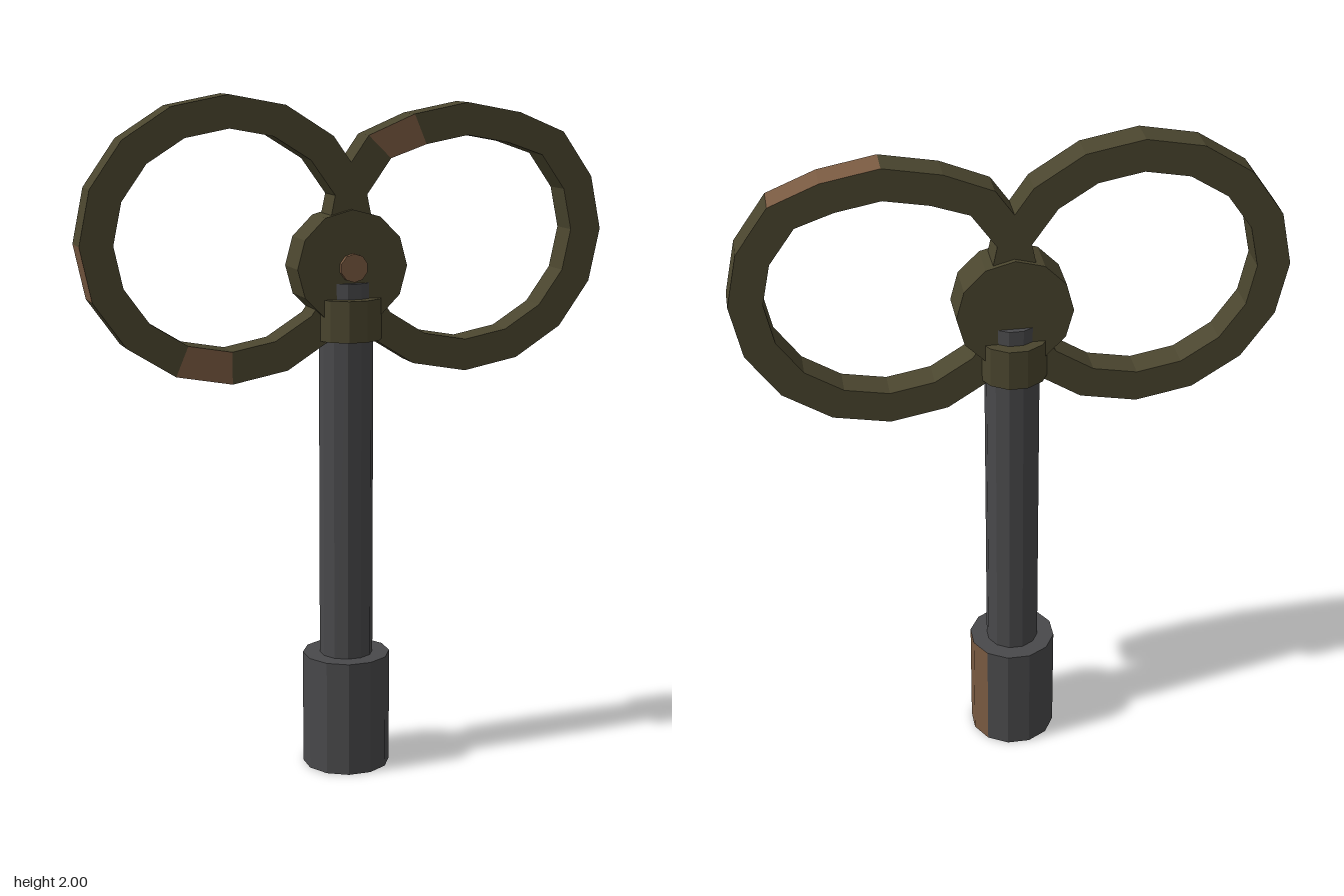
import * as THREE from 'three';

const flat = (name, color) => {
  const m = new THREE.MeshStandardMaterial({ color, flatShading: true });
  m.name = name;
  return m;
};

export function createModel() {
  const brass = flat('darkBrass', 0x4a452e);
  const steel = flat('darkSteel', 0x49494b);
  const rust = flat('wornCopper', 0x795a41);
  const model = new THREE.Group();
  const STEP = Math.PI / 6;

  const add = (name, geometry, material, x = 0, y = 0, z = 0) => {
    const mesh = new THREE.Mesh(geometry, material);
    mesh.name = name;
    mesh.position.set(x, y, z);
    model.add(mesh);
    return mesh;
  };

  // Twelve-sided prism; the listed side facets use the second material
  const prism = (r, h, start = 0, painted = [], open = false) => {
    const g = new THREE.CylinderGeometry(r, r, h, 12, 1, open, start);
    g.clearGroups();
    for (let i = 0; i < 12; i++) g.addGroup(i * 6, 6, painted.includes(i) ? 1 : 0);
    if (!open) g.addGroup(72, g.index.count - 72, 0);
    return g;
  };

  // Oval band of 16 segments with a rectangular section
  const band = (dent, paintedFront, paintedOuter) => {
    const N = 16, D = 0.046, pos = [];
    const g = new THREE.BufferGeometry();
    const point = (k, rx, ry, z) => {
      const a = (k % N) * Math.PI * 2 / N;
      const drop = k >= 3 && k <= 5 ? dent : 0;
      return [Math.cos(a) * rx, Math.sin(a) * ry - drop, z];
    };
    for (let k = 0; k < N; k++) {
      const ring = j => [
        point(j, 0.428, 0.405, D), point(j, 0.333, 0.312, D),
        point(j, 0.333, 0.312, -D), point(j, 0.428, 0.405, -D),
      ];
      const p = ring(k), q = ring(k + 1);
      // sides in order: front, inner, back, outer
      for (let s = 0; s < 4; s++) {
        const t = (s + 1) % 4;
        const worn = (s === 0 && paintedFront.includes(k)) || (s === 3 && paintedOuter.includes(k));
        g.addGroup(pos.length / 3, 6, worn ? 1 : 0);
        pos.push(...p[s], ...q[s], ...q[t], ...p[s], ...q[t], ...p[t]);
      }
    }
    g.setAttribute('position', new THREE.Float32BufferAttribute(pos, 3));
    g.computeVertexNormals();
    return g;
  };

  // Two finger loops, the left one slightly dented on top
  add('rightLoop', band(0, [11], [8]), [brass, rust], -0.355, 1.595);
  add('leftLoop', band(0.03, [5], [2, 3]), [brass, rust], 0.355, 1.595);

  // Hub disc and its rivet
  add('hub', prism(0.165, 0.12, 0, [2]).rotateX(Math.PI / 2), [brass, rust], 0, 1.51, 0);
  add('rivet', new THREE.CylinderGeometry(0.041, 0.041, 0.025, 10).rotateX(Math.PI / 2),
    rust, 0, 1.51, 0.0625);

  // Collar and shaft
  add('collar', prism(0.114, 0.12, STEP / 2).scale(0.92, 1, 1), [brass, rust], 0, 1.36);
  add('shaft', prism(0.079, 1.265, STEP / 2), [steel, rust], 0, 0.8325);

  // Socket barrel: outer wall, shoulder, and bottom rim around a square hole
  const R = 0.13, H = 0.345, S = 0.045, DEPTH = 0.2;
  add('barrel', prism(R, H, STEP / 2, [2, 3], true), [steel, rust], 0, H / 2);
  add('barrelShoulder', new THREE.CircleGeometry(R, 12, STEP / 2).rotateX(-Math.PI / 2), steel, 0, H);
  const rim = new THREE.Shape();
  for (let i = 0; i < 12; i++) {
    const a = (i + 0.5) * STEP;
    rim[i ? 'lineTo' : 'moveTo'](Math.cos(a) * R, Math.sin(a) * R);
  }
  rim.closePath();
  rim.holes.push(new THREE.Path([[-S, -S], [-S, S], [S, S], [S, -S]].map(c => new THREE.Vector2(...c))));
  add('barrelRim', new THREE.ShapeGeometry(rim).rotateX(Math.PI / 2), steel);

  // Square socket: inward-facing walls and a ceiling
  const walls = new THREE.CylinderGeometry(S * Math.SQRT2, S * Math.SQRT2, DEPTH, 4, 1, true, Math.PI / 4);
  walls.index.array.reverse();
  add('socketWalls', walls, steel, 0, DEPTH / 2);
  add('socketCeiling', new THREE.PlaneGeometry(S * 2, S * 2).rotateX(Math.PI / 2), steel, 0, DEPTH);

  return model;
}
